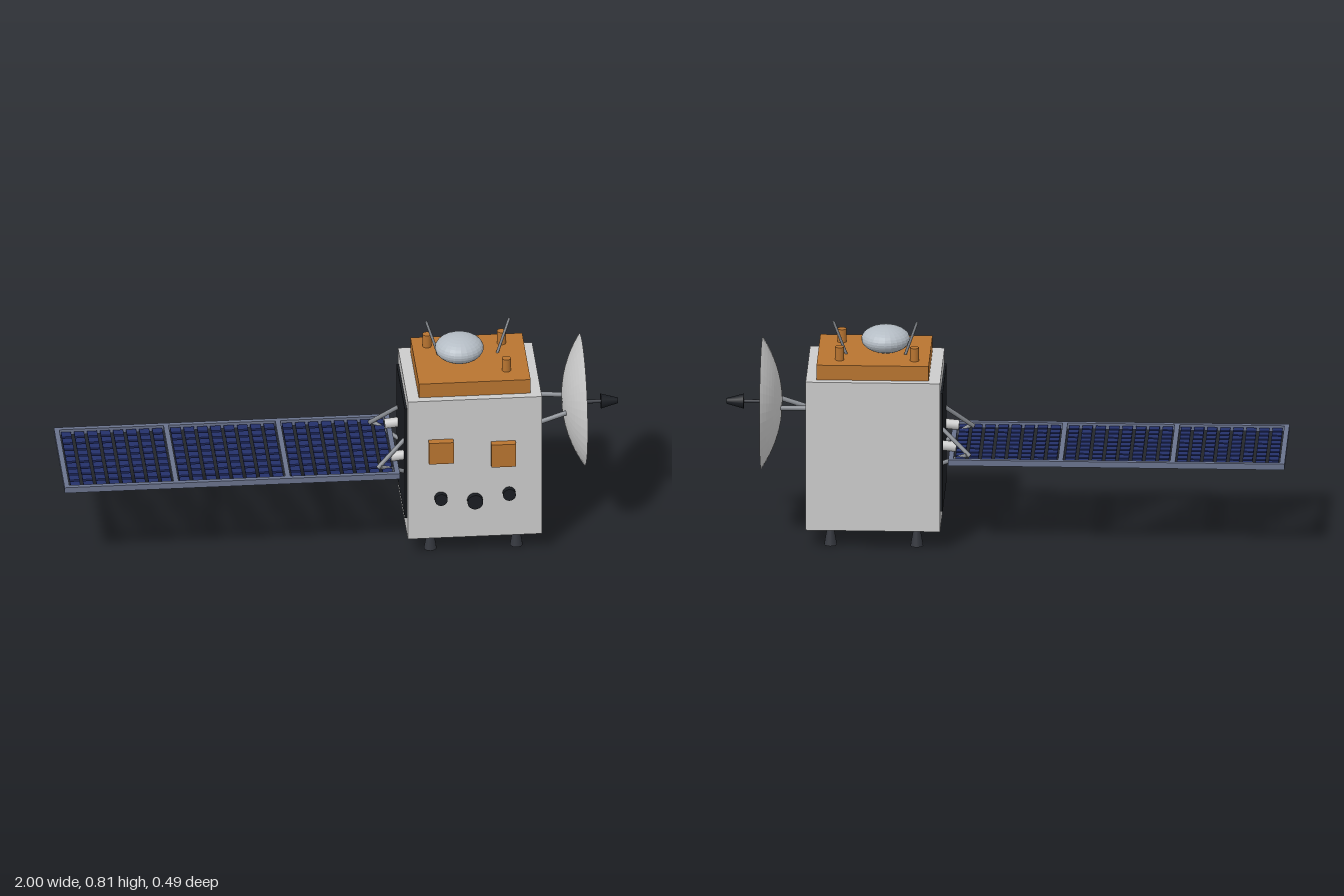
import * as THREE from 'three';
import { mergeGeometries } from 'three/addons/utils/BufferGeometryUtils.js';

const mat = (color, extra = {}) => new THREE.MeshStandardMaterial({ color, ...extra });
const GREY = mat(0xcccccc);
const ORANGE = mat(0xb87430);
const BLACK = mat(0x1a1d22);
const DARK = mat(0x33363d);
const METAL = mat(0x85898f);
const FRAME = mat(0x69728c);
const CELL = mat(0x24306a);
const DISH = mat(0xcccccc, { flatShading: true, side: THREE.DoubleSide });
const DOME = mat(0xb4bcc4, { flatShading: true });

export function createModel() {
  const model = new THREE.Group();
  const CZ = 0.014; // depth centre of the body

  const add = (name, geometry, material, x = 0, y = 0, z = 0, parent = model) => {
    const mesh = new THREE.Mesh(geometry, material);
    mesh.name = name;
    mesh.position.set(x, y, z);
    parent.add(mesh);
    return mesh;
  };
  // Box given by its lower and upper corners
  const box = (name, material, a, b, parent) => add(name,
    new THREE.BoxGeometry(b[0] - a[0], b[1] - a[1], b[2] - a[2]), material,
    (a[0] + b[0]) / 2, (a[1] + b[1]) / 2, (a[2] + b[2]) / 2, parent);
  // Round rod between two points, with a radius at each end
  const rod = (name, material, a, b, r0, r1 = r0, sides = 16) => {
    const p = new THREE.Vector3(...a), q = new THREE.Vector3(...b);
    const dir = q.clone().sub(p);
    const mesh = add(name, new THREE.CylinderGeometry(r1, r0, dir.length(), sides), material);
    mesh.position.copy(p).add(q).multiplyScalar(0.5);
    mesh.quaternion.setFromUnitVectors(new THREE.Vector3(0, 1, 0), dir.normalize());
    return mesh;
  };

  // Body, upper deck and dark radiator plate
  box('body', GREY, [0.23, 0.07, -0.187], [0.71, 0.627, 0.217]);
  box('upperDeck', ORANGE, [0.272, 0.627, -0.159], [0.672, 0.682, 0.188]);
  box('radiatorPlate', BLACK, [0.222, 0.137, -0.155], [0.23, 0.58, 0.183]);

  // Feet
  for (const x of [0.315, 0.623])
    for (const z of [-0.132, 0.16])
      rod('foot', DARK, [x, 0, z], [x, 0.064, z], 0.023, 0.012);

  // Instruments on the front
  box('instrumentBox', ORANGE, [0.303, 0.385, 0.217], [0.392, 0.47, 0.245]);
  box('instrumentBox', ORANGE, [0.527, 0.362, 0.217], [0.615, 0.453, 0.245]);
  for (const [x, y, r] of [[0.348, 0.234, 0.023], [0.47, 0.219, 0.028], [0.592, 0.243, 0.023]])
    rod('sensorPort', BLACK, [x, y, 0.215], [x, y, 0.238], r, r, 24);

  // Dome, posts and whip antennas on the deck
  const dome = add('dome', new THREE.SphereGeometry(0.087, 24, 16), DOME, 0.432, 0.728, 0.012);
  dome.scale.y = 0.55;
  for (const [x, z] of [[0.325, -0.093], [0.592, -0.093], [0.592, 0.11]])
    rod('deckPost', ORANGE, [x, 0.68, z], [x, 0.731, z], 0.016);
  rod('whipAntenna', METAL, [0.361, 0.68, -0.024], [0.318, 0.809, -0.044], 0.005);
  rod('whipAntenna', METAL, [0.571, 0.68, -0.024], [0.616, 0.809, -0.044], 0.005);

  // Dish: a shallow spherical cap opening to the left
  const R = 0.237, depth = 0.073, ball = (R * R + depth * depth) / (2 * depth);
  const rimAngle = Math.asin(R / ball);
  const profile = [];
  for (let i = 0; i <= 12; i++) {
    const t = rimAngle * i / 12;
    profile.push(new THREE.Vector2(ball * Math.sin(t), ball * (1 - Math.cos(t))));
  }
  const dish = add('dish', new THREE.LatheGeometry(profile, 40), DISH, 0.8, 0.486, -0.005);
  dish.rotation.z = -Math.PI / 2;
  rod('feedRod', DARK, [0.8, 0.486, 0.012], [0.945, 0.486, 0.012], 0.007);
  rod('feedHorn', BLACK, [0.938, 0.486, 0.012], [1, 0.486, 0.012], 0.027, 0.01, 20);
  rod('dishStrut', METAL, [0.7, 0.487, -0.062], [0.825, 0.483, -0.05], 0.009);
  rod('dishStrut', METAL, [0.7, 0.442, 0.077], [0.81, 0.479, 0.075], 0.009);

  // Solar array: rails, dividers and separate cells
  const array = new THREE.Group();
  array.name = 'solarArray';
  model.add(array);
  const y0 = 0.327, y1 = 0.349, zBack = -0.21, zFront = 0.238, w = 0.018;
  box('arrayRail', FRAME, [-1, y0, zBack], [0.2, y1, zBack + w], array);
  box('arrayRail', FRAME, [-1, y0, zFront - w], [0.2, y1, zFront], array);
  for (const x of [-1, -0.609, -0.209, 0.182])
    box('arrayDivider', FRAME, [x, y0, zBack + w], [x + w, y1, zFront - w], array);
  const cells = [], cols = 8, rows = 9, gap = 0.011;
  const zStart = zBack + w, dz = (zFront - zBack - 2 * w) / rows;
  for (const [xa, xb] of [[-0.982, -0.609], [-0.591, -0.209], [-0.191, 0.182]]) {
    const dx = (xb - xa) / cols;
    for (let i = 0; i < cols; i++)
      for (let j = 0; j < rows; j++)
        cells.push(new THREE.BoxGeometry(dx - gap, 0.008, dz - gap)
          .translate(xa + (i + 0.5) * dx, 0.338, zStart + (j + 0.5) * dz));
  }
  add('solarCells', mergeGeometries(cells), CELL, 0, 0, 0, array);

  // Hinges and braces joining the array to the body
  for (const s of [-1, 1]) {
    const zBody = CZ + s * 0.122, zArray = CZ + s * 0.17;
    rod('hingeBrace', METAL, [0.125, 0.346, zArray], [0.225, 0.432, zBody], 0.008);
    rod('hingeBrace', METAL, [0.135, 0.35, zArray], [0.225, 0.303, zBody], 0.008);
    rod('hingeBarrel', GREY, [0.175, 0.365, zBody], [0.225, 0.37, zBody], 0.018);
  }

  return model;
}
